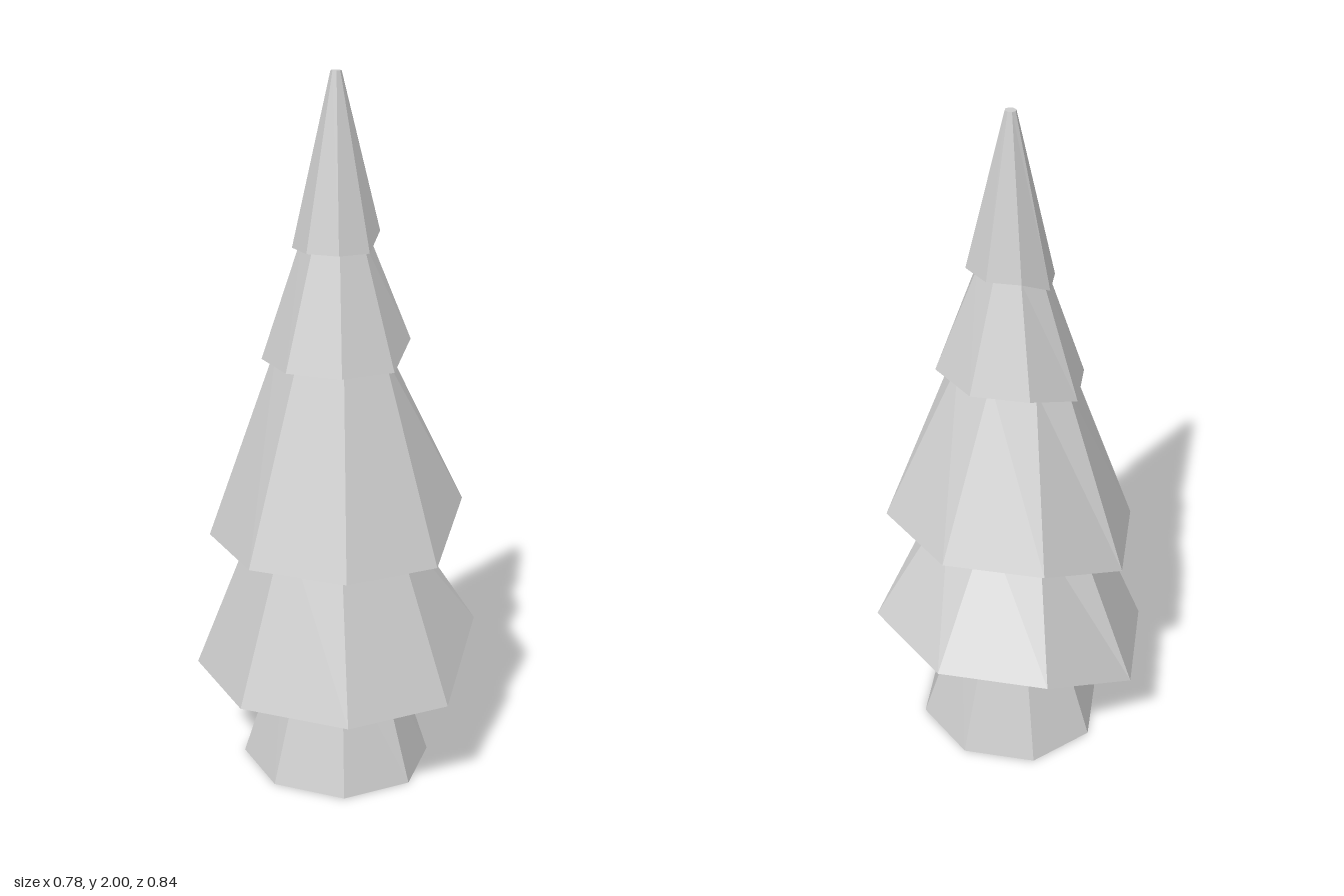
import * as THREE from 'three';

const SIDES = 8;

// Rings from the ground to the tip. The +x half of each ring may sit higher
// and have its own width: [yLeft, yRight, xLeft, xRight, z]
const RINGS = {
  trunk: [[0, 0, 0.265, 0.265, 0.283], [0.385, 0.385, 0.14, 0.14, 0.16]],
  neck: [[0.385, 0.385, 0.14, 0.14, 0.16], [0.42, 0.42, 0.2, 0.2, 0.215]],
  lowerTier: [[0.42, 0.42, 0.2, 0.2, 0.215], [0.3, 0.435, 0.395, 0.39, 0.418], [0.795, 0.795, 0.21, 0.125, 0.215]],
  middleTier: [[0.795, 0.795, 0.21, 0.125, 0.215], [0.705, 0.81, 0.352, 0.348, 0.37], [1.265, 1.265, 0.15, 0.1, 0.175]],
  upperTier: [[1.265, 1.265, 0.15, 0.1, 0.175], [1.225, 1.28, 0.2, 0.2, 0.21], [1.57, 1.57, 0.085, 0.08, 0.095]],
  topTier: [[1.57, 1.57, 0.085, 0.08, 0.095], [1.535, 1.58, 0.117, 0.117, 0.12], [2, 2, 0.014, 0.014, 0.015]],
};

function ringPoints([yL, yR, xL, xR, z]) {
  return Array.from({ length: SIDES }, (_, i) => {
    const a = (i / SIDES) * Math.PI * 2;
    const c = Math.cos(a);
    const right = c > 0.01;
    return [c * (right ? xR : xL), right ? yR : yL, Math.sin(a) * z];
  });
}

// Skin the rings; optional flat caps at the start and end
function loft(rings, capStart, capEnd) {
  const loops = rings.map(ringPoints);
  const pos = [];
  const tri = (...pts) => pts.forEach((p) => pos.push(...p));
  const last = loops[loops.length - 1];
  for (let i = 0; i < SIDES; i++) {
    const j = (i + 1) % SIDES;
    for (let k = 0; k + 1 < loops.length; k++) {
      const lo = loops[k], hi = loops[k + 1];
      tri(lo[i], hi[i], hi[j]);
      tri(lo[i], hi[j], lo[j]);
    }
    if (capStart) tri(loops[0][i], loops[0][j], [0, rings[0][0], 0]);
    if (capEnd) tri(last[j], last[i], [0, rings[rings.length - 1][0], 0]);
  }
  const geo = new THREE.BufferGeometry();
  geo.setAttribute('position', new THREE.Float32BufferAttribute(pos, 3));
  geo.computeVertexNormals();
  return geo;
}

export function createModel() {
  const tree = new THREE.Group();
  tree.name = 'firTree';
  const material = new THREE.MeshStandardMaterial({ color: 0xcccccc, flatShading: true });
  for (const [name, rings] of Object.entries(RINGS)) {
    const mesh = new THREE.Mesh(loft(rings, name === 'trunk', name === 'topTier'), material);
    mesh.name = name;
    tree.add(mesh);
  }
  return tree;
}
